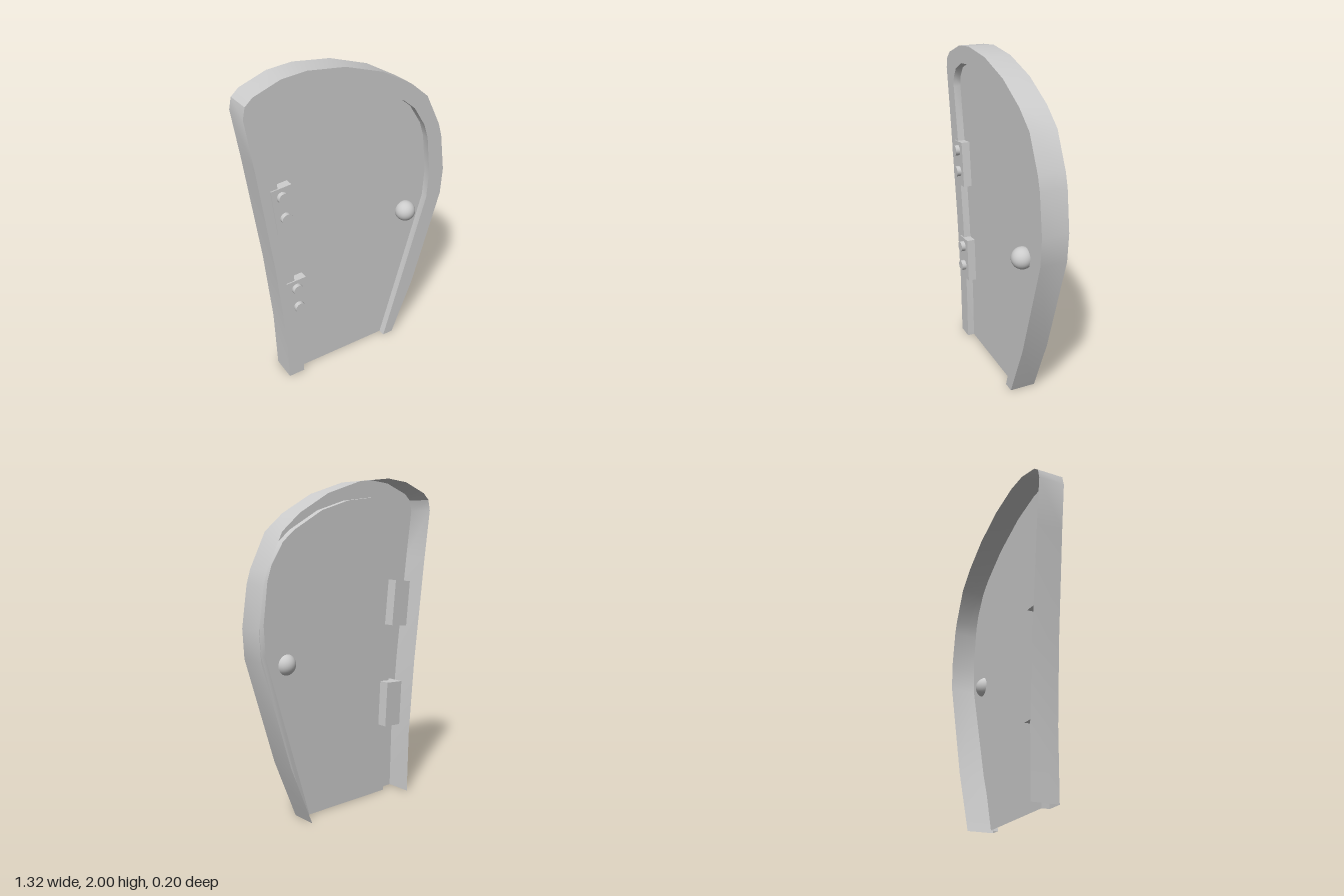
import * as THREE from 'three';
import { toCreasedNormals } from 'three/addons/utils/BufferGeometryUtils.js';

const FRONT = 0.06, BACK = -0.1, PANEL = 0.015;

// Outlines run from the bottom right, over the top, to the bottom left
const OUTER = [
  [0.31, 0], [0.46, 0.37], [0.65, 1.0], [0.66, 1.17], [0.625, 1.41], [0.6, 1.49],
  [0.5, 1.69], [0.38, 1.79], [0.18, 1.9], [-0.06, 1.975], [-0.29, 2], [-0.44, 1.985],
  [-0.6, 1.925], [-0.645, 1.885], [-0.66, 1.82], [-0.62, 1.53], [-0.54, 0.87], [-0.5, 0.4], [-0.49, 0],
];
const INNER = [
  [0.24, 0], [0.54, 1.0], [0.55, 1.18], [0.52, 1.42], [0.49, 1.51], [0.41, 1.635],
  [0.33, 1.7], [0.13, 1.81], [-0.07, 1.87], [-0.29, 1.895], [-0.41, 1.885],
  [-0.5, 1.84], [-0.54, 1.78], [-0.545, 1.72], [-0.5, 1.43], [-0.43, 0.83], [-0.39, 0.35], [-0.385, 0],
];

const material = new THREE.MeshStandardMaterial({ color: 0xcccccc, side: THREE.DoubleSide });

function add(parent, name, geometry, x = 0, y = 0, z = 0) {
  const mesh = new THREE.Mesh(geometry, material);
  mesh.name = name;
  mesh.position.set(x, y, z);
  parent.add(mesh);
  return mesh;
}

// Open strip following an outline between two depths
function strip(points, z0, z1) {
  const pos = [];
  for (let i = 0; i < points.length - 1; i++) {
    const [ax, ay] = points[i], [bx, by] = points[i + 1];
    pos.push(ax, ay, z0, bx, by, z0, bx, by, z1, ax, ay, z0, bx, by, z1, ax, ay, z1);
  }
  const g = new THREE.BufferGeometry();
  g.setAttribute('position', new THREE.Float32BufferAttribute(pos, 3));
  return toCreasedNormals(g, 0.6);
}

function flat(points) {
  return new THREE.ShapeGeometry(new THREE.Shape(points.map(([x, y]) => new THREE.Vector2(x, y))));
}

export function createModel() {
  const model = new THREE.Group();
  model.name = 'door';
  const innerReversed = [...INNER].reverse();

  // Hollow frame, open at the back and bottom
  const frame = new THREE.Group();
  frame.name = 'frame';
  model.add(frame);
  add(frame, 'frameOuterWall', strip(OUTER, BACK, FRONT));
  add(frame, 'frameFace', flat([...OUTER, ...innerReversed]), 0, 0, FRONT);
  add(frame, 'frameInnerWall', strip(innerReversed, PANEL, FRONT));

  // Recessed door leaf
  add(model, 'doorPanel', flat(INNER), 0, 0, PANEL);

  // Knob showing on both sides of the leaf
  add(model, 'knob', new THREE.SphereGeometry(0.065, 32, 20), 0.393, 0.94, 0.037);

  // Tilted hinges, each with two bolts
  for (const [name, x, y, tilt] of [
    ['upperHinge', -0.463, 1.241, 0.1],
    ['lowerHinge', -0.405, 0.595, 0.053],
  ]) {
    const hinge = new THREE.Group();
    hinge.name = name;
    hinge.position.set(x, y, 0);
    hinge.rotation.z = tilt;
    model.add(hinge);
    add(hinge, 'hingePlate', new THREE.BoxGeometry(0.127, 0.285, 0.117), 0, 0, 0.0085);
    for (const side of [1, -1]) {
      const bolt = toCreasedNormals(new THREE.CylinderGeometry(0.033, 0.033, 0.035, 16), 0.6);
      add(hinge, 'bolt', bolt.rotateX(Math.PI / 2), -0.002, side * 0.068 + 0.018, 0.0765);
    }
  }
  return model;
}
